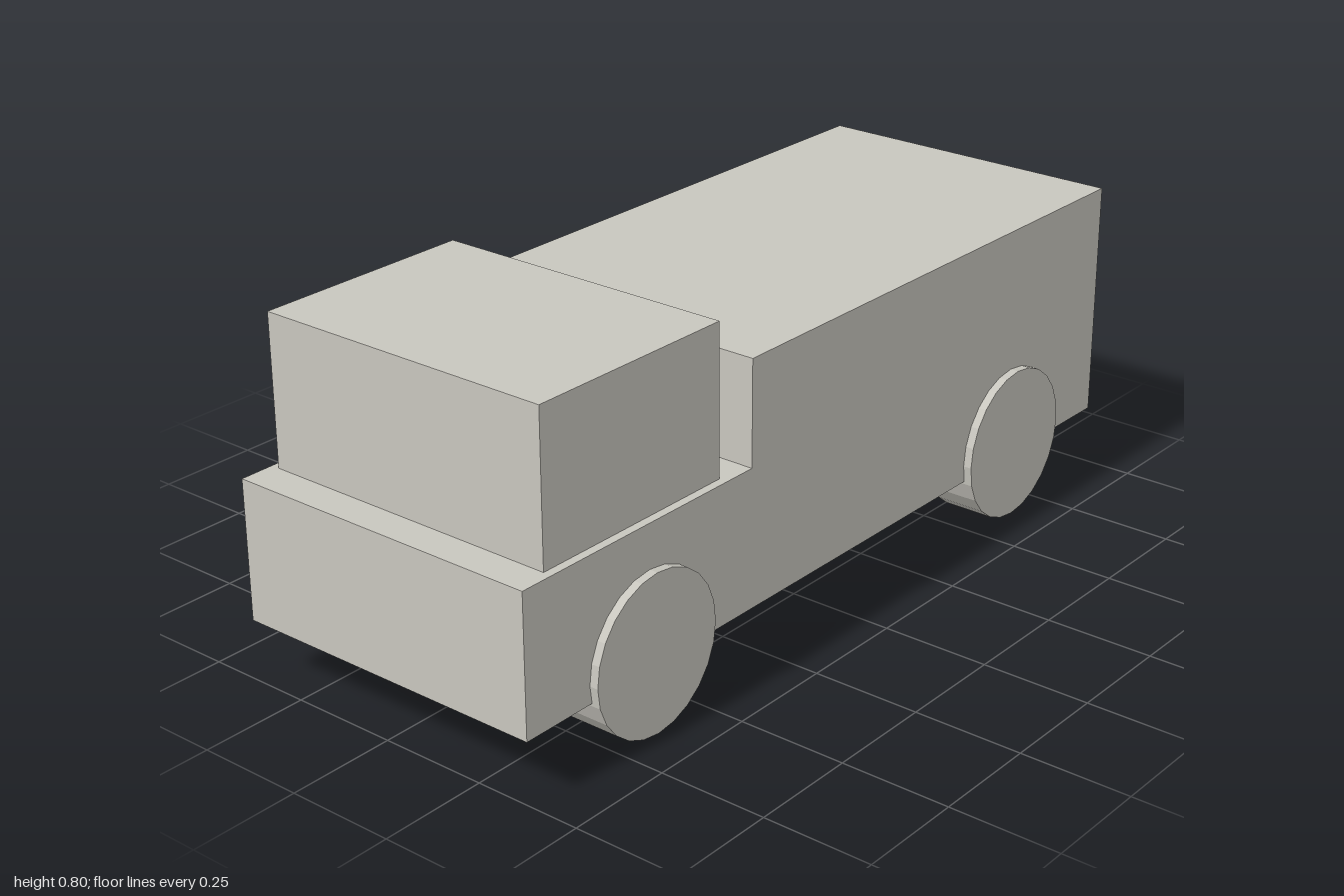
import * as THREE from 'three';

export function createModel() {
  const truck = new THREE.Group();
  truck.name = 'truck';
  const paint = new THREE.MeshStandardMaterial({ color: 0xc8c6be });
  paint.name = 'light grey';
  paint.flatShading = true;

  const add = (name, geometry, x, y, z) => {
    const mesh = new THREE.Mesh(geometry, paint);
    mesh.name = name;
    mesh.position.set(x, y, z);
    truck.add(mesh);
  };

  // Body: low front deck and tall rear box in one side profile (z, y)
  const profile = new THREE.Shape([
    [-1, 0.14], [1, 0.14], [1, 0.46], [0.32, 0.46], [0.32, 0.7], [-1, 0.7],
  ].map(([z, y]) => new THREE.Vector2(z, y)));
  const body = new THREE.ExtrudeGeometry(profile, { depth: 0.76, bevelEnabled: false });
  body.translate(0, 0, -0.38).rotateY(-Math.PI / 2);
  add('body', body, 0, 0, 0);

  // Cab standing on the front deck
  add('cab', new THREE.BoxGeometry(0.72, 0.34, 0.52), 0, 0.63, 0.66);

  // Four wheels, sunk into the body sides
  const wheel = new THREE.CylinderGeometry(0.18, 0.18, 0.12, 24).rotateZ(Math.PI / 2);
  for (const [end, z] of [['front', 0.64], ['rear', -0.64]]) {
    for (const [side, x] of [['Left', 0.34], ['Right', -0.34]]) {
      add(`${end}${side}Wheel`, wheel, x, 0.18, z);
    }
  }

  return truck;
}
